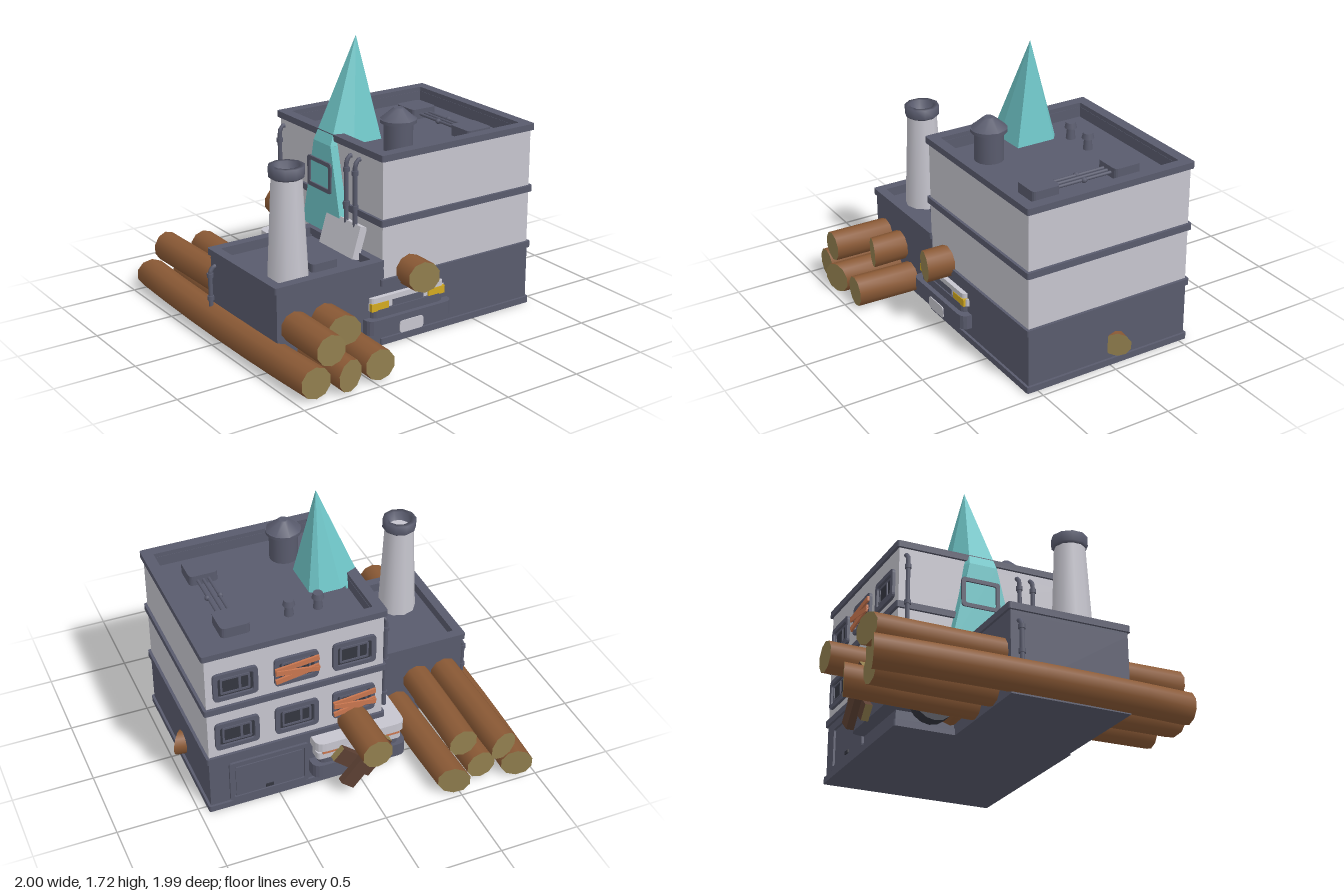
import * as THREE from 'three';

const mat = (name, color) => Object.assign(new THREE.MeshStandardMaterial({ color }), { name });

export function createModel() {
  const root = new THREE.Group();
  const slate = mat('slate', 0x595b6d), light = mat('pale wall', 0xc6c5ce), dark = mat('dark pane', 0x343640);
  const bark = mat('bark', 0x8a5935), cut = mat('cut wood', 0x917e4e), ice = mat('ice', 0x6fc6c8);
  const yellow = mat('yellow', 0xd2a920), orange = mat('orange board', 0xc9764f), plankMat = mat('dark plank', 0x5c4033);
  ice.side = THREE.DoubleSide;

  const add = (name, geo, m, x = 0, y = 0, z = 0, parent = root) => {
    const mesh = new THREE.Mesh(geo, m);
    mesh.name = name;
    mesh.position.set(x, y, z);
    parent.add(mesh);
    return mesh;
  };
  // box given by its limits
  const box = (name, m, x0, x1, y0, y1, z0, z1, parent) =>
    add(name, new THREE.BoxGeometry(x1 - x0, y1 - y0, z1 - z0), m, (x0 + x1) / 2, (y0 + y1) / 2, (z0 + z1) / 2, parent);
  const cyl = (name, m, rt, rb, y0, y1, x, z, n = 16) =>
    add(name, new THREE.CylinderGeometry(rt, rb, y1 - y0, n), m, x, (y0 + y1) / 2, z);
  // rounded rectangle as a shape or hole
  const rect = (w, h, r, T = THREE.Shape) => {
    const s = new T(), a = w / 2, b = h / 2;
    s.moveTo(-a + r, -b); s.lineTo(a - r, -b); s.quadraticCurveTo(a, -b, a, -b + r);
    s.lineTo(a, b - r); s.quadraticCurveTo(a, b, a - r, b);
    s.lineTo(-a + r, b); s.quadraticCurveTo(-a, b, -a, b - r);
    s.lineTo(-a, -b + r); s.quadraticCurveTo(-a, -b, -a + r, -b);
    return s;
  };
  const frameGeo = (w, h, t, depth, r = 0.015) => {
    const s = rect(w, h, r);
    if (t) s.holes.push(rect(w - 2 * t, h - 2 * t, r * 0.6, THREE.Path));
    return new THREE.ExtrudeGeometry(s, { depth, bevelEnabled: false, curveSegments: 4 });
  };
  // horizontal slab or ring (t = rim width, 0 for solid)
  const slab = (name, m, x0, x1, y0, y1, z0, z1, t = 0, r = 0.015) =>
    add(name, frameGeo(x1 - x0, z1 - z0, t, y1 - y0, r).rotateX(-Math.PI / 2), m, (x0 + x1) / 2, y0, (z0 + z1) / 2);

  // main building
  box('groundFloor', slate, -0.17, 0.93, 0, 0.39, -0.54, 0.555);
  slab('skirting', slate, -0.185, 0.945, 0, 0.04, -0.555, 0.57);
  box('middleFloor', light, -0.168, 0.927, 0.39, 0.76, -0.538, 0.553);
  box('upperFloor', light, -0.168, 0.927, 0.76, 1.07, -0.538, 0.553);
  slab('upperWallRim', light, -0.168, 0.927, 1.07, 1.14, -0.538, 0.553, 0.02, 0.002);
  slab('parapetLining', slate, -0.15, 0.91, 1.07, 1.14, -0.52, 0.535, 0.035, 0.002);
  box('roofDeck', slate, -0.14, 0.9, 1.065, 1.075, -0.51, 0.525);
  for (const y of [0.37, 0.735]) slab('floorBand', slate, -0.185, 0.945, y, y + 0.04, -0.555, 0.57);
  slab('parapetCap', slate, -0.185, 0.945, 1.127, 1.167, -0.555, 0.57, 0.068);

  // annex
  box('annexWall', slate, -0.89, -0.16, 0, 0.47, -0.18, 0.555);
  slab('annexParapet', slate, -0.905, -0.16, 0.49, 0.53, -0.195, 0.567, 0.06);
  slab('annexParapetLining', slate, -0.89, -0.16, 0.47, 0.49, -0.18, 0.555, 0.045, 0.002);
  slab('annexHatch', slate, -0.53, -0.35, 0.47, 0.52, 0.19, 0.37, 0, 0.025);

  // chimney
  cyl('chimneyStack', light, 0.092, 0.122, 0.47, 1.08, -0.67, 0.325, 10);
  const cap = [[0.075, 1.05], [0.095, 1.07], [0.107, 1.08], [0.107, 1.14], [0.075, 1.14], [0.07, 1.06], [0, 1.06]];
  add('chimneyCap', new THREE.LatheGeometry(cap.map(p => new THREE.Vector2(...p)), 10), slate, -0.67, 0, 0.325);

  // roof equipment
  cyl('roofVent', slate, 0.088, 0.088, 1.07, 1.26, 0.115, 0.31);
  cyl('roofVentRim', slate, 0.11, 0.11, 1.255, 1.275, 0.115, 0.31);
  cyl('roofVentHood', slate, 0.03, 0.11, 1.275, 1.342, 0.115, 0.31, 8);
  for (const x of [0.125, 0.307]) {
    cyl('smallVent', slate, 0.022, 0.03, 1.07, 1.145, x, -0.255, 10);
    cyl('smallVentCap', slate, 0.03, 0.038, 1.145, 1.18, x, -0.255, 10);
  }
  for (const z of [-0.235, 0.315]) slab('coolingUnit', slate, 0.565, 0.745, 1.07, 1.14, z - 0.09, z + 0.09, 0, 0.03);
  for (const x of [0.625, 0.66, 0.695]) {
    add('coolingPipe', new THREE.CylinderGeometry(0.01, 0.01, 0.4, 8).rotateX(Math.PI / 2), slate, x, 1.105, 0.04);
  }
  for (const x of [0.62, 0.7]) add('pipeJoint', new THREE.SphereGeometry(0.018, 8, 6), slate, x, 1.105, 0.04);

  // wall pipes with an elbow into the wall and collars
  const pipe = (x, z, y0, y1, dx) => {
    const pts = [[x, y0, z], [x, y1 - 0.03, z], [x + dx * 0.4, y1, z], [x + dx, y1, z]];
    const path = new THREE.CurvePath();
    for (let i = 0; i < 3; i++) path.add(new THREE.LineCurve3(new THREE.Vector3(...pts[i]), new THREE.Vector3(...pts[i + 1])));
    add('wallPipe', new THREE.TubeGeometry(path, 24, 0.014, 8), slate);
    for (const t of [0.12, 0.5, 0.85]) cyl('pipeCollar', slate, 0.021, 0.021, y0 + (y1 - y0) * t, y0 + (y1 - y0) * t + 0.025, x, z, 8);
  };
  pipe(-0.203, 0.235, 0.48, 1.08, 0.05);
  pipe(-0.203, 0.325, 0.48, 1.08, 0.05);
  pipe(-0.203, -0.495, 0.42, 1.08, 0.05);
  pipe(-0.925, -0.13, 0.02, 0.43, 0.05);

  // windows, facing +z in their own frame
  const makeWindow = (name, boarded) => {
    const g = new THREE.Group();
    g.name = name;
    add('windowFrame', frameGeo(0.27, 0.19, 0.028, 0.02, 0.03), slate, 0, 0, 0, g);
    box('windowGlass', dark, -0.12, 0.12, -0.08, 0.08, 0, 0.006, g);
    add('innerFrame', frameGeo(0.18, 0.11, 0.012, 0.012, 0.01), slate, 0, 0, 0, g);
    box('mullion', slate, 0.02, 0.035, -0.05, 0.05, 0, 0.012, g);
    if (boarded) [[0.035, 0.1], [-0.03, 0.16], [-0.005, -0.14]].forEach(([y, a], i) => {
      box('board', orange, -0.135, 0.135, y - 0.016, y + 0.016, 0.02 + i * 0.004, 0.033 + i * 0.004, g).rotation.z = a;
    });
    root.add(g);
    return g;
  };
  [0.92, 0.56].forEach((y, row) => [0.75, 0.38, 0.02].forEach((x, col) => {
    const w = makeWindow('backWindow', col === row + 1);
    w.position.set(x, y, -0.537);
    w.rotation.y = Math.PI;
  }));

  // garage door on the back
  const door = new THREE.Group();
  door.name = 'garageDoor';
  add('doorFrame', frameGeo(0.5, 0.29, 0.025, 0.015, 0.02), slate, 0, 0, 0, door);
  box('doorPanel', slate, -0.21, 0.21, -0.14, 0.1, 0, 0.007, door);
  box('doorHandle', dark, -0.025, 0.025, -0.11, -0.09, 0, 0.014, door);
  door.position.set(0.56, 0.185, -0.54);
  door.rotation.y = Math.PI;
  root.add(door);

  // ice spire: rings joined by flat triangles
  const loft = (name, lower, upper) => {
    const v = [], n = lower.length;
    for (let i = 0; i < n; i++) {
      const j = (i + 1) % n;
      v.push(...lower[i], ...upper[i], ...lower[j], ...lower[j], ...upper[i], ...upper[j]);
    }
    const g = new THREE.BufferGeometry();
    g.setAttribute('position', new THREE.Float32BufferAttribute(v, 3));
    g.computeVertexNormals();
    add(name, g, ice);
  };
  const foot = [[-0.21, -0.1], [-0.06, -0.17], [0.08, -0.17], [0.13, -0.13], [0.13, 0.12], [-0.07, 0.125], [-0.21, 0.08]];
  loft('iceSpire', foot.map(([x, z]) => [x, 1.1, z]), foot.map(() => [0.04, 1.72, -0.02]));
  loft('iceSheet', [[-0.215, 0.55, -0.22], [-0.1, 0.55, -0.24], [-0.1, 0.55, 0.24], [-0.215, 0.55, 0.21]],
    [[-0.21, 1.1, -0.1], [-0.1, 1.1, -0.15], [-0.1, 1.1, 0.12], [-0.21, 1.1, 0.08]]);
  const iceFrame = add('frozenWindowFrame', frameGeo(0.25, 0.19, 0.025, 0.015, 0.02), slate, -0.207, 0.9, -0.03);
  iceFrame.rotation.y = -Math.PI / 2;
  const slabPiece = add('fallenWallSlab', new THREE.BoxGeometry(0.05, 0.2, 0.35), light, -0.215, 0.59, 0.215);
  slabPiece.rotation.z = -0.3;

  // logs along z: slanted ends, gentle bend
  const log = (name, r, z0, z1, x, y, back = 0, front = 0, bend = 0) => {
    const len = z1 - z0, g = new THREE.CylinderGeometry(r, r, len, 10, 6).rotateX(Math.PI / 2), p = g.attributes.position;
    for (let i = 0; i < p.count; i++) {
      const px = p.getX(i), z = p.getZ(i), t = 2 * z / len;
      if (Math.abs(t) > 0.99) p.setZ(i, z + px * (t > 0 ? front : back));
      p.setX(i, px + bend * (1 - t * t));
    }
    g.computeVertexNormals();
    return add(name, g, [bark, cut, cut], x, y, (z0 + z1) / 2);
  };
  log('bottomLog', 0.095, -0.97, 0.935, -0.88, 0.1, 0.3, 0.05, -0.025);
  log('bottomLog', 0.095, -0.9, 0.965, -0.675, 0.1, 0, -0.3, 0.01);
  log('bottomLog', 0.095, -0.965, 0.945, -0.46, 0.1, 0.35, 0.08, 0.02);
  log('topLog', 0.093, -0.965, 0.935, -0.78, 0.268, -0.25, 0.05, 0.01);
  log('topLog', 0.093, -0.85, 0.76, -0.57, 0.268, 0, 0.3, -0.01);
  log('crossingLog', 0.096, -0.905, 0.71, 0.02, 0.43, 0, 0.25, 0.01);
  log('sideLog', 0.075, -0.68, 0.66, 0.3, 0.135, 0, 0.5).rotation.set(0, 1.42, 0);
  root.children.at(-1).position.z = -0.135;

  // vehicle buried in the building
  slab('carBumper', slate, -0.305, 0.305, 0.1, 0.19, -0.63, 0.62, 0, 0.06);
  slab('carLowerBody', slate, -0.26, 0.26, 0.19, 0.24, -0.61, 0.59, 0, 0.05);
  slab('carBody', light, -0.27, 0.28, 0.235, 0.283, -0.62, 0.575, 0, 0.03);
  slab('carHood', light, -0.265, 0.26, 0.283, 0.315, -0.6, 0.585, 0, 0.03);
  slab('carTail', light, -0.28, 0.295, 0.315, 0.375, -0.65, -0.3, 0, 0.06);
  slab('carTailStripe', yellow, -0.275, -0.15, 0.375, 0.38, -0.37, -0.22, 0, 0.01);
  for (const s of [-1, 1]) {
    box('headlight', yellow, s * 0.205 - 0.06, s * 0.205 + 0.06, 0.235, 0.283, 0.56, 0.588);
    box('tailLight', orange, s * 0.19 - 0.06, s * 0.19 + 0.06, 0.28, 0.335, -0.63, -0.6);
    box('sideStripe', yellow, s * 0.275 - 0.004, s * 0.275 + 0.004, 0.2, 0.26, -0.5, 0.4);
    add('wheel', new THREE.CylinderGeometry(0.13, 0.13, 0.08, 16).rotateZ(Math.PI / 2), dark, s * 0.265, 0.15, -0.36);
    add('wheelArch', new THREE.TorusGeometry(0.15, 0.025, 6, 16, Math.PI).rotateY(Math.PI / 2), slate, s * 0.285, 0.16, -0.36);
  }
  box('grille', slate, -0.11, 0.11, 0.24, 0.28, 0.56, 0.582);
  add('frontPlate', frameGeo(0.17, 0.075, 0, 0.008, 0.02), light, -0.005, 0.113, 0.618);

  // crossed planks behind the vehicle
  const plank = (len, x, y, z, a) => {
    const m = add('crossedPlank', new THREE.BoxGeometry(len, 0.1, 0.045), [cut, cut, plankMat, plankMat, plankMat, plankMat], x, y, z);
    m.rotation.z = a;
  };
  plank(0.38, 0.01, 0.22, -0.71, -0.86);
  plank(0.3, 0.06, 0.2, -0.668, 0.72);

  return root;
}
